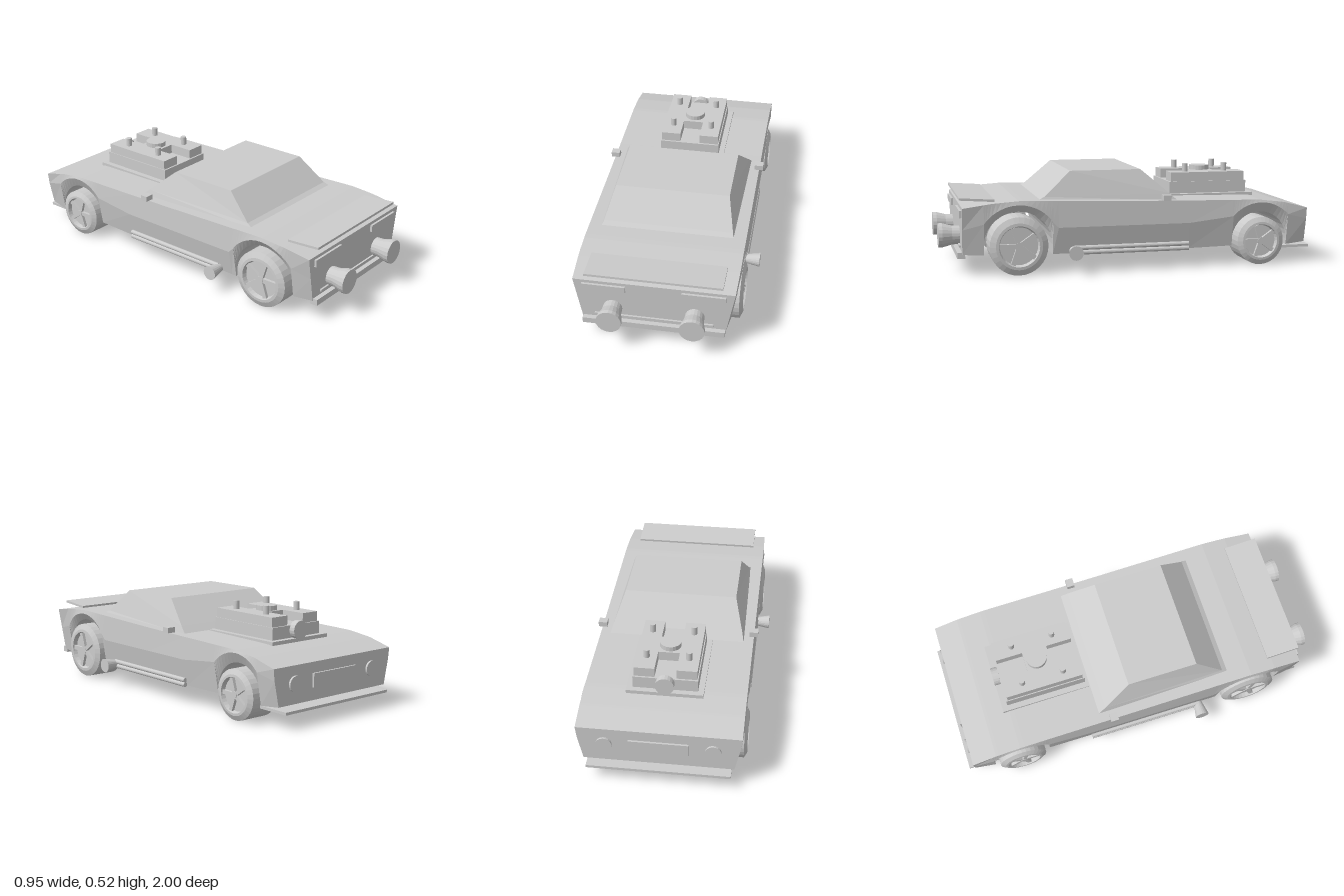
import * as THREE from 'three';

const mat = new THREE.MeshStandardMaterial({ color: 0xcccccc, flatShading: true });
const smooth = new THREE.MeshStandardMaterial({ color: 0xcccccc });

export function createModel() {
  const root = new THREE.Group();

  function add(name, geo, x = 0, y = 0, z = 0, parent = root, m = mat) {
    const mesh = new THREE.Mesh(geo, m);
    mesh.name = name;
    mesh.position.set(x, y, z);
    parent.add(mesh);
    return mesh;
  }
  // Box given by its limits on each axis
  function box(name, x0, x1, y0, y1, z0, z1) {
    return add(name, new THREE.BoxGeometry(x1 - x0, y1 - y0, z1 - z0), (x0 + x1) / 2, (y0 + y1) / 2, (z0 + z1) / 2);
  }
  const rodY = (r, h) => new THREE.CylinderGeometry(r, r, h, 20);
  const rodZ = (rFront, rBack, h) => new THREE.CylinderGeometry(rBack, rFront, h, 20).rotateX(Math.PI / 2);

  // Closed solid through a list of rings, with flat end caps
  function loft(rings) {
    const pos = [];
    const tri = (a, b, c) => pos.push(...a, ...b, ...c);
    const n = rings[0].length;
    for (let i = 0; i < rings.length - 1; i++) {
      for (let j = 0; j < n; j++) {
        const k = (j + 1) % n;
        const a = rings[i][j], b = rings[i][k], c = rings[i + 1][k], d = rings[i + 1][j];
        tri(a, c, b);
        tri(a, d, c);
      }
    }
    const first = rings[0], last = rings[rings.length - 1];
    for (let j = 1; j < n - 1; j++) {
      tri(first[0], first[j], first[j + 1]);
      tri(last[0], last[j + 1], last[j]);
    }
    const g = new THREE.BufferGeometry();
    g.setAttribute('position', new THREE.Float32BufferAttribute(pos, 3));
    g.computeVertexNormals();
    return g;
  }

  // Body: cross-sections from tail (+z) to nose (-z), with arches cut through the full width
  const topLine = [[0.89, 0.353], [0.74, 0.374], [0.6, 0.384], [0.4, 0.378], [0, 0.366],
    [-0.3, 0.359], [-0.69, 0.352], [-0.83, 0.335], [-0.965, 0.3]];
  const arches = [
    { z: 0.605, y: 0.15, r: 0.177, lip: 0.036 },
    { z: -0.7, y: 0.13, r: 0.155, lip: 0.052 },
  ];
  function topY(z) {
    for (let i = 0; i < topLine.length - 1; i++) {
      const [z0, y0] = topLine[i], [z1, y1] = topLine[i + 1];
      if (z >= z1) return y0 + (y1 - y0) * (z0 - z) / (z0 - z1);
    }
    return 0.3;
  }
  function section(z, bottom) {
    const yTop = topY(z);
    let crease = 0.24;
    for (const a of arches) {
      const R = a.r + a.lip, d = z - a.z;
      if (Math.abs(d) < R) crease = Math.max(crease, a.y + Math.sqrt(R * R - d * d));
    }
    crease = Math.min(crease, yTop - 0.012);
    const tail = THREE.MathUtils.clamp((z - 0.7) / 0.19, 0, 1);
    const nose = THREE.MathUtils.clamp((-z - 0.85) / 0.115, 0, 1);
    const wb = 0.387 - 0.025 * tail - 0.012 * nose;
    const wc = 0.415 - 0.03 * tail - 0.012 * nose;
    const wt = 0.41 - 0.005 * tail;
    return [[wb, bottom, z], [wc, crease, z], [wt, yTop, z], [-wt, yTop, z], [-wc, crease, z], [-wb, bottom, z]];
  }
  const sections = [];
  for (const [z] of topLine) {
    if (!arches.some(a => Math.abs(z - a.z) <= a.r)) sections.push([z, z > 0.7 || z < -0.85 ? 0.11 : 0.1]);
  }
  for (const a of arches) {
    sections.push([a.z + a.r + 1e-5, 0.105], [a.z - a.r - 1e-5, 0.1]);
    for (let i = 0; i <= 18; i++) {
      const t = Math.PI * i / 18;
      sections.push([a.z + a.r * Math.cos(t), a.y + a.r * Math.sin(t)]);
    }
  }
  sections.sort((p, q) => q[0] - p[0]);
  add('body', loft(sections.map(([z, b]) => section(z, b))));

  // Cabin: roof, lower window line and base
  const cabinRing = (wr, zr, yr, wf, zf, yf) => [[wr, yr, zr], [wf, yf, zf], [-wf, yf, zf], [-wr, yr, zr]];
  add('cabin', loft([
    cabinRing(0.3, 0.318, 0.52, 0.3, -0.06, 0.52),
    cabinRing(0.338, 0.46, 0.393, 0.348, -0.207, 0.393),
    cabinRing(0.348, 0.505, 0.372, 0.36, -0.25, 0.355),
  ]));

  // Rear spoiler
  const spoiler = box('spoiler', -0.345, 0.345, 0.381, 0.393, 0.72, 0.9);
  spoiler.rotation.x = -0.07;

  // Hood engine
  box('enginePlate', -0.195, 0.195, 0.33, 0.366, -0.73, -0.25);
  box('engineBlock', -0.165, 0.165, 0.34, 0.43, -0.7, -0.262);
  box('engineBridge', -0.056, 0.056, 0.43, 0.48, -0.545, -0.41);
  for (const s of [-1, 1]) {
    const cover = box('valveCover', 0.055, 0.16, 0.43, 0.48, -0.69, -0.272);
    cover.position.x *= s;
    for (const z of [-0.59, -0.365]) add('engineStack', rodY(0.016, 0.05), s * 0.108, 0.5, z);
  }
  add('airFilter', rodY(0.055, 0.03), 0, 0.49, -0.48);
  add('pulley', rodZ(0.048, 0.048, 0.035), 0, 0.405, -0.715);

  // Tail: thrusters, lights, bumper
  for (const s of [-1, 1]) {
    const thruster = new THREE.LatheGeometry([[0, 0], [0.048, 0], [0.05, 0.05], [0.064, 0.1], [0.064, 0.12], [0, 0.12]]
      .map(p => new THREE.Vector2(...p)), 20).rotateX(Math.PI / 2);
    add('thruster', thruster, s * 0.207, 0.19, 0.88);
    add('tailLight', new THREE.BoxGeometry(0.22, 0.037, 0.02), s * 0.25, 0.318, 0.892);
    add('headlight', rodZ(0.04, 0.04, 0.02), s * 0.27, 0.21, -0.966);
    add('mirror', new THREE.BoxGeometry(0.046, 0.028, 0.042), s * 0.408, 0.378, -0.175);
  }
  box('tailTrim', -0.3, 0.3, 0.138, 0.15, 0.88, 0.9);
  box('rearBumper', -0.36, 0.36, 0.09, 0.122, 0.875, 0.915);

  // Nose: grille and splitter
  box('grille', -0.15, 0.15, 0.175, 0.245, -0.976, -0.95);
  box('splitter', -0.36, 0.36, 0.076, 0.09, -1, -0.82);

  // Side pipes with flared outlets
  for (const s of [-1, 1]) {
    for (const y of [0.105, 0.129]) add('sidePipe', rodZ(0.012, 0.012, 0.62), s * 0.4, y, 0.01);
    const outlet = new THREE.CylinderGeometry(0.038, 0.022, 0.085, 20).rotateZ(-s * Math.PI / 2);
    add('sideOutlet', outlet, s * 0.432, 0.114, 0.32);
  }

  // Wheels: tyre ring with a recessed disc and five spokes on both faces
  function wheel(name, side, R, z) {
    const g = new THREE.Group();
    g.name = name;
    g.position.set(side * 0.333, R, z);
    root.add(g);
    const rim = R * 0.7;
    const profile = [[0, -0.07], [rim * 0.93, -0.07], [rim, -0.093], [R * 0.8, -0.092], [R, -0.078],
      [R, 0.078], [R * 0.8, 0.092], [rim, 0.093], [rim * 0.93, 0.07], [0, 0.07]];
    add('tyre', new THREE.LatheGeometry(profile.map(p => new THREE.Vector2(...p)), 32)
      .rotateZ(-Math.PI / 2), 0, 0, 0, g);
    add('hub', new THREE.CylinderGeometry(R * 0.14, R * 0.14, 0.178, 16).rotateZ(Math.PI / 2), 0, 0, 0, g, smooth);
    for (let i = 0; i < 5; i++) {
      const spoke = new THREE.BoxGeometry(0.172, rim * 0.95, R * 0.16);
      spoke.translate(0, rim * 0.48, 0).rotateX(i * Math.PI * 0.4 + 0.3);
      add('spoke', spoke, 0, 0, 0, g);
    }
  }
  for (const s of [-1, 1]) {
    wheel('rearWheel', s, 0.151, 0.605);
    wheel('frontWheel', s, 0.129, -0.7);
  }
  return root;
}
